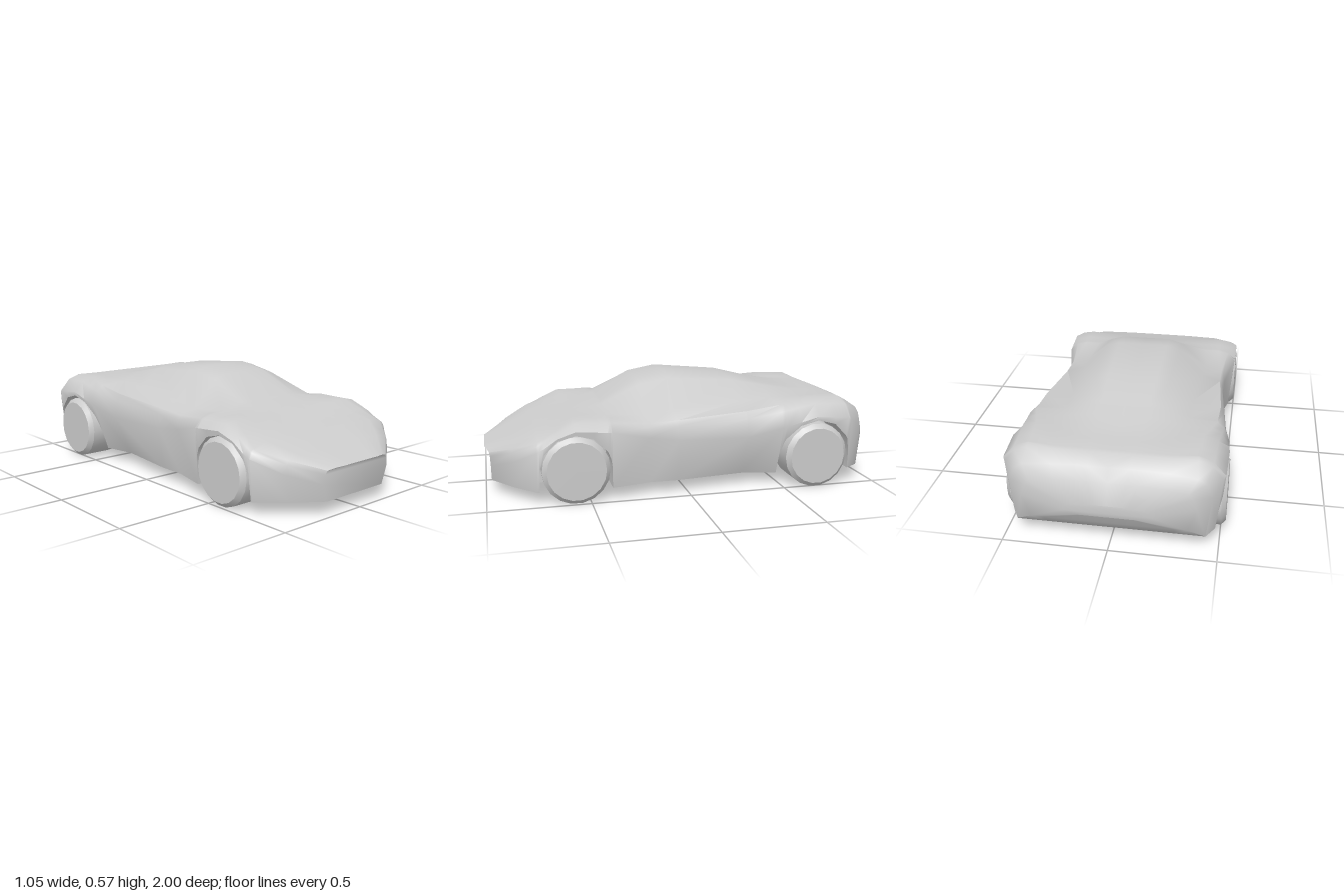
import * as THREE from 'three';
import { toCreasedNormals } from 'three/addons/utils/BufferGeometryUtils.js';

const { lerp } = THREE.MathUtils;
const GREY = new THREE.MeshStandardMaterial({ color: 0xcccccc, roughness: 0.8 });
const AXLE_Y = 0.168;

// Axles: z, arch radius, wheel inner x, wheel outer x
const AXLES = [
  { name: 'front', z: 0.57, arch: 0.177, inner: 0.33, outer: 0.5 },
  { name: 'rear', z: -0.67, arch: 0.188, inner: 0.315, outer: 0.523 },
];

// Body stations: z, sill x, widest x and y, fender crest x and y,
// cabin base x and y, roof edge x, roof centre y
const STATIONS = [
  [0.97, 0.2, 0.23, 0.15, 0.21, 0.213, 0.17, 0.22, 0.12, 0.225],
  [0.87, 0.34, 0.37, 0.2, 0.35, 0.262, 0.28, 0.275, 0.2, 0.28],
  [0.76, 0.46, 0.485, 0.27, 0.45, 0.305, 0.36, 0.325, 0.2, 0.33],
  [0.57, 0.48, 0.5, 0.365, 0.39, 0.402, 0.28, 0.393, 0.14, 0.385],
  [0.4, 0.475, 0.495, 0.35, 0.4, 0.405, 0.32, 0.407, 0.19, 0.433],
  [0.2, 0.43, 0.45, 0.3, 0.43, 0.37, 0.34, 0.39, 0.2, 0.545],
  [0.05, 0.43, 0.453, 0.28, 0.43, 0.378, 0.33, 0.41, 0.2, 0.572],
  [-0.3, 0.39, 0.487, 0.28, 0.455, 0.41, 0.31, 0.43, 0.19, 0.54],
  [-0.5, 0.43, 0.513, 0.33, 0.45, 0.435, 0.3, 0.442, 0.18, 0.49],
  [-0.67, 0.49, 0.52, 0.375, 0.4, 0.455, 0.3, 0.445, 0.17, 0.455],
  [-0.84, 0.49, 0.515, 0.36, 0.39, 0.448, 0.28, 0.445, 0.15, 0.445],
  [-0.93, 0.44, 0.465, 0.3, 0.4, 0.39, 0.27, 0.405, 0.15, 0.41],
  [-0.97, 0.36, 0.4, 0.25, 0.36, 0.33, 0.25, 0.35, 0.14, 0.355],
  [-1.0, 0.14, 0.2, 0.21, 0.18, 0.24, 0.15, 0.245, 0.1, 0.25],
];

function stationAt(z) {
  let i = 0;
  while (i < STATIONS.length - 2 && z < STATIONS[i + 1][0]) i++;
  const [a, b] = [STATIONS[i], STATIONS[i + 1]];
  const t = (a[0] - z) / (a[0] - b[0]);
  return a.map((v, k) => lerp(v, b[k], t));
}

// Flat floor that turns up at the tail
function floorY(z) {
  if (z > -0.5) return 0.065;
  if (z > -0.94) return lerp(0.065, 0.083, (-0.5 - z) / 0.44);
  return lerp(0.083, 0.19, (-0.94 - z) / 0.06);
}

function archY(z) {
  for (const { z: c, arch } of AXLES) {
    const d = Math.abs(z - c);
    if (d < arch) return AXLE_Y + Math.sqrt(arch * arch - d * d);
  }
  return floorY(z);
}

// Half cross-section from floor centre, round the wheel well and side, to roof centre
function halfSection(z) {
  const [, sill, wide, my, cx, cy, gx, gy, rx, top] = stationAt(z);
  const floor = floorY(z), arch = archY(z);
  const midY = Math.max(my, arch + 0.012);
  const well = Math.min(0.3, sill * 0.85);
  const roofDrop = Math.max(0, (top - gy) * 0.13);
  const points = [
    [0, floor], [well, floor], [well, arch],
    [lerp(sill, wide, (arch - floor) / (midY - floor)), arch],
    [wide, midY], [lerp(wide, cx, 0.45), lerp(midY, cy, 0.72)], [cx, cy],
    [gx, gy], [rx, top - roofDrop], [rx * 0.66, top], [0, top],
  ];
  // The nose leans forward to a rounded lip
  return points.map(([x, y]) => {
    const lip = z > 0.96 ? 0.03 * ((y - 0.065) / 0.16) * Math.min(1, (0.24 - x) / 0.12) : 0;
    return new THREE.Vector3(x, y, z + lip);
  });
}

function bodyGeometry() {
  const zs = STATIONS.map((s) => s[0]);
  for (const { z, arch } of AXLES) {
    for (const f of [0.5, 0.87, 0.999, 1.01]) zs.push(z + f * arch, z - f * arch);
  }
  zs.sort((a, b) => b - a);
  const halves = zs.map(halfSection);
  const mirror = (p) => new THREE.Vector3(-p.x, p.y, p.z);
  const rings = halves.map((h) => [...h, ...h.slice(1, -1).reverse().map(mirror)]);

  const out = [];
  const tri = (a, b, c) => {
    const area = b.clone().sub(a).cross(c.clone().sub(a)).length();
    if (area > 1e-8) for (const p of [a, b, c]) out.push(p.x, p.y, p.z);
  };
  const quad = (a, b, c, d) => { tri(a, b, c); tri(a, c, d); };

  // Skin
  for (let i = 0; i < rings.length - 1; i++) {
    const r = rings[i], s = rings[i + 1], n = r.length;
    for (let j = 0; j < n; j++) {
      const k = (j + 1) % n;
      // Mirror the diagonal so both sides match
      if (j < n / 2) quad(r[j], s[j], s[k], r[k]);
      else quad(r[k], r[j], s[j], s[k]);
    }
  }
  // Nose and tail faces
  const nose = halves[0], tail = halves[halves.length - 1];
  for (let j = 0; j < nose.length - 1; j++) {
    quad(nose[j], nose[j + 1], mirror(nose[j + 1]), mirror(nose[j]));
    quad(mirror(tail[j]), mirror(tail[j + 1]), tail[j + 1], tail[j]);
  }
  const geo = new THREE.BufferGeometry();
  geo.setAttribute('position', new THREE.Float32BufferAttribute(out, 3));
  return toCreasedNormals(geo, 0.9);
}

// Plain disc wheel with bevelled shoulders, axis along x
function wheelGeometry(width) {
  const h = width / 2, r = 0.168;
  const profile = [[0, -h], [r - 0.022, -h], [r, -h + 0.022], [r, h - 0.022], [r - 0.022, h], [0, h]]
    .map(([x, y]) => new THREE.Vector2(x, y));
  const geo = new THREE.LatheGeometry(profile, 18);
  geo.rotateZ(-Math.PI / 2);
  return toCreasedNormals(geo, 0.6);
}

export function createModel() {
  const model = new THREE.Group();
  model.name = 'sportsCar';

  const body = new THREE.Mesh(bodyGeometry(), GREY);
  body.name = 'body';
  model.add(body);

  for (const { name, z, inner, outer } of AXLES) {
    const geo = wheelGeometry(outer - inner);
    for (const side of [1, -1]) {
      const wheel = new THREE.Mesh(geo, GREY);
      wheel.name = `${name}${side > 0 ? 'Left' : 'Right'}Wheel`;
      wheel.position.set(side * (inner + outer) / 2, AXLE_Y, z);
      model.add(wheel);
    }
  }
  return model;
}
